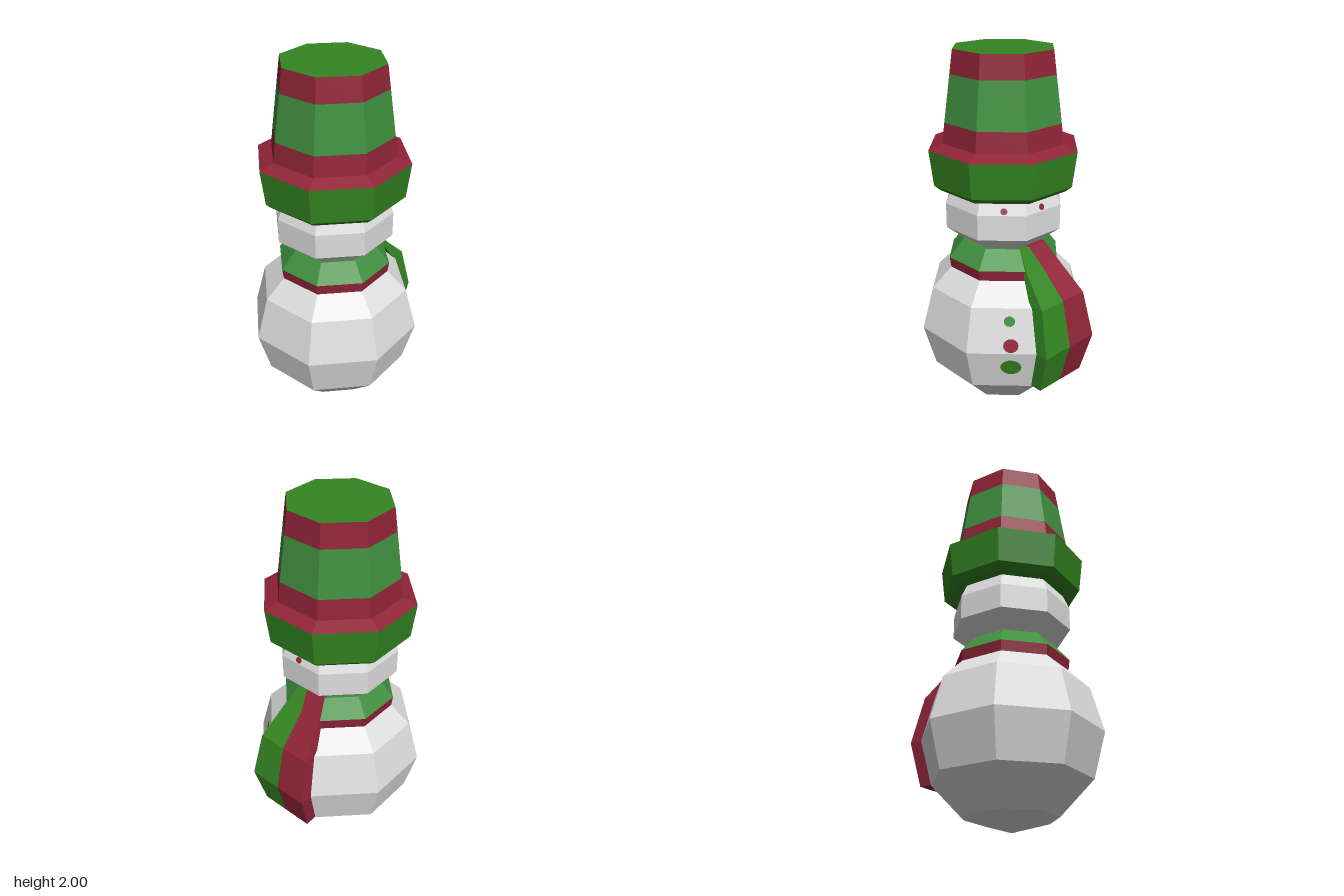
import * as THREE from 'three';

const C = Math.cos(Math.PI / 8), S = Math.sin(Math.PI / 8);

function material(name, color) {
  const m = new THREE.MeshStandardMaterial({ color });
  m.name = name;
  return m;
}

// Eight-sided faceted solid of revolution from [radius, height] points, bottom to top
function turned(name, profile, mat) {
  const lathe = new THREE.LatheGeometry(profile.map(p => new THREE.Vector2(...p)), 8);
  const g = lathe.toNonIndexed();
  g.computeVertexNormals();
  const mesh = new THREE.Mesh(g, mat);
  mesh.name = name;
  return mesh;
}

// Thin disc lying on the facet between two profile rings; its side follows the sign of z
function spot(name, y, z, radius, [r0, y0], [r1, y1], mat) {
  const s = Math.sign(z);
  const dy = y1 - y0, da = (r1 - r0) * C;
  const a = r0 * C + da * (y - y0) / dy;
  const normal = new THREE.Vector3(C * dy, -da, s * S * dy).normalize();
  const mesh = new THREE.Mesh(new THREE.CircleGeometry(radius, 14), mat);
  mesh.name = name;
  mesh.position.set((a - s * S * z) / C, y, z).addScaledVector(normal, 0.004);
  mesh.lookAt(mesh.position.clone().add(normal));
  mesh.scale.x = 1.06;
  return mesh;
}

// Lengthwise strip of the hanging scarf end, following one facet of the body.
// rows: [ring radius, height, thickness, position of the colour split]
function scarfStrip(name, rows, left, mat) {
  const pos = [];
  const quad = (a, b, c, d) => [a, b, c, a, c, d].forEach(p => pos.push(...p));
  const point = (r, y, f, d) => [
    r + f * r * (Math.SQRT1_2 - 1) + d * C,
    y,
    -f * r * Math.SQRT1_2 - d * S
  ];
  const rings = rows.map(([r, y, d, split]) => {
    const f0 = left ? 0 : split, f1 = left ? split : 1;
    return {
      A: point(r, y, f0, d), B: point(r, y, f1, d),
      a: point(r, y, f0, -0.02), b: point(r, y, f1, -0.02)
    };
  });
  for (let i = 0; i < rings.length - 1; i++) {
    const u = rings[i], l = rings[i + 1];
    quad(l.A, l.B, u.B, u.A);
    quad(l.a, l.A, u.A, u.a);
    quad(l.B, l.b, u.b, u.B);
    quad(l.b, l.a, u.a, u.b);
  }
  const top = rings[0], end = rings[rings.length - 1];
  quad(end.a, end.b, end.B, end.A);
  quad(top.A, top.B, top.b, top.a);
  const g = new THREE.BufferGeometry();
  g.setAttribute('position', new THREE.Float32BufferAttribute(pos, 3));
  g.computeVertexNormals();
  const mesh = new THREE.Mesh(g, mat);
  mesh.name = name;
  return mesh;
}

export function createModel() {
  const snow = material('snow white', 0xdedede);
  const green = material('leaf green', 0x348522);
  const soft = material('soft green', 0x40903f);
  const red = material('deep red', 0x902438);

  const model = new THREE.Group();
  model.name = 'snowman';
  const figure = new THREE.Group();
  figure.name = 'figure';
  figure.position.x = -0.035;
  model.add(figure);

  // Snow body and head
  const body = [[0, 0], [0.24, 0.07], [0.415, 0.25], [0.48, 0.49], [0.415, 0.73], [0.24, 0.905], [0, 0.97]];
  const head = [[0, 0.96], [0.2, 0.975], [0.325, 1.075], [0.325, 1.21], [0.29, 1.29], [0, 1.3]];
  figure.add(turned('body', body, snow), turned('head', head, snow));

  // Scarf wrapped round the neck
  figure.add(
    turned('scarfLowerBand', [[0.22, 0.82], [0.305, 0.82], [0.315, 0.895]], red),
    turned('scarfUpperBand', [[0.315, 0.895], [0.235, 0.99], [0.19, 0.985]], soft)
  );

  // Hanging scarf end in two colours
  const tail = [
    [0.235, 0.99, 0.006, 0.34],
    [0.315, 0.895, 0.008, 0.48],
    [0.415, 0.74, 0.07, 0.5],
    [0.48, 0.49, 0.07, 0.5],
    [0.415, 0.255, 0.07, 0.48]
  ];
  figure.add(
    scarfStrip('scarfTailGreen', tail, true, green),
    scarfStrip('scarfTailRed', tail, false, red)
  );

  // Hat: turned-up brim and striped crown
  figure.add(
    turned('hatBrim', [[0, 1.285], [0.35, 1.285], [0.385, 1.315], [0.408, 1.505]], green),
    turned('hatBrimTop', [[0.408, 1.505], [0.333, 1.535]], red),
    turned('hatLowerStripe', [[0.333, 1.535], [0.319, 1.64]], red),
    turned('hatMiddleStripe', [[0.319, 1.64], [0.285, 1.88]], soft),
    turned('hatUpperStripe', [[0.285, 1.88], [0.268, 2]], red),
    turned('hatTop', [[0.268, 2], [0, 2]], green)
  );

  // Eyes
  for (const z of [0.103, -0.1]) {
    figure.add(spot(z > 0 ? 'leftEye' : 'rightEye', 1.23, z, 0.017, head[3], head[4], red));
  }

  // Buttons, growing towards the bottom
  figure.add(
    spot('topButton', 0.662, 0.115, 0.028, body[3], body[4], soft),
    spot('middleButton', 0.534, 0.12, 0.038, body[3], body[4], red),
    spot('bottomButton', 0.396, 0.115, 0.053, body[2], body[3], green)
  );

  return model;
}
